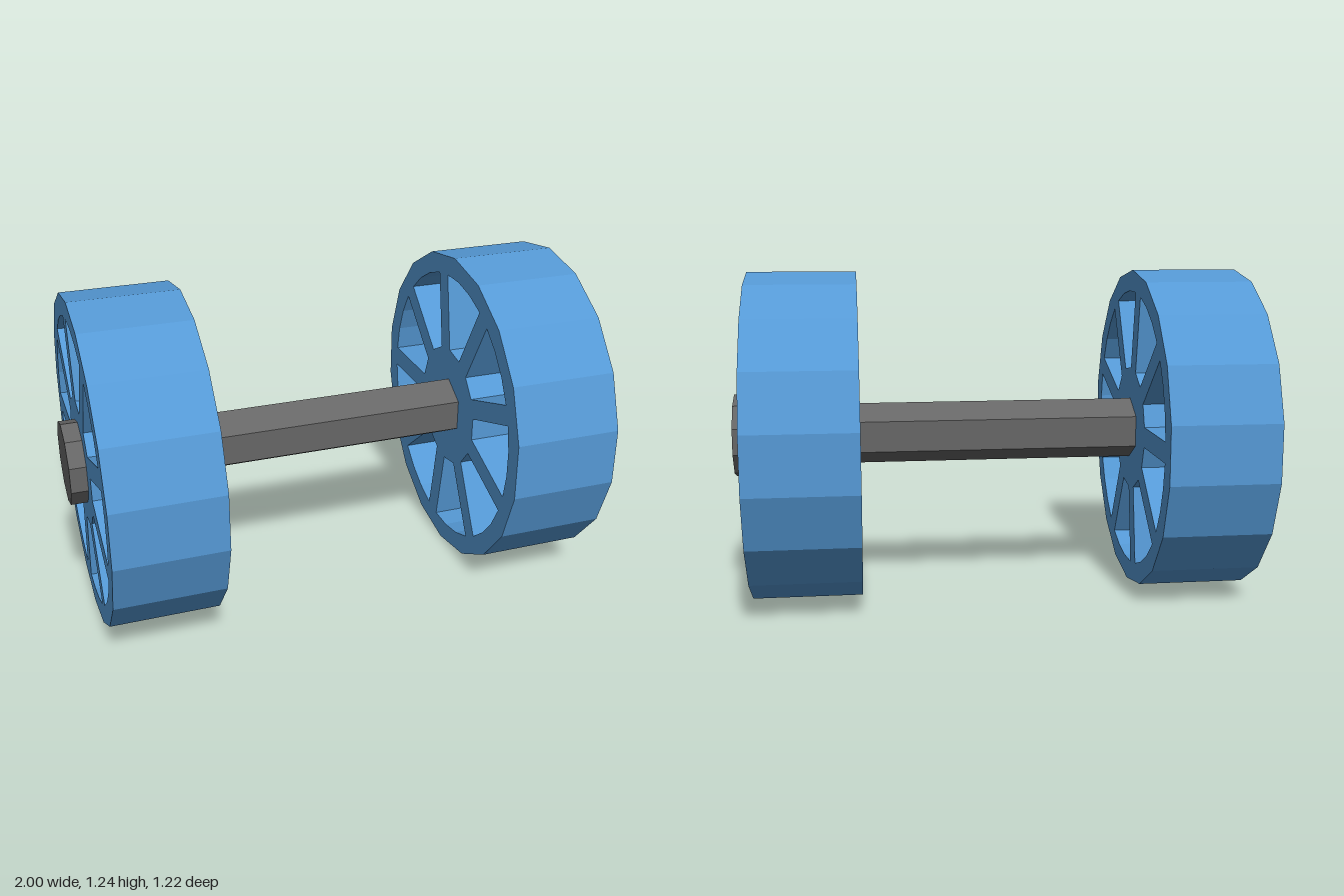
import * as THREE from 'three';

const AXLE_Y = 0.618;
const WHEEL_R = 0.618, RIM_R = 0.537, HUB_R = 0.239;
const SPOKES = 9, SPOKE_HALF = 0.0385;
const WHEEL_IN = 0.533, WHEEL_OUT = 0.938;

const blue = new THREE.MeshStandardMaterial({ color: 0x5599d5, flatShading: true });
const grey = new THREE.MeshStandardMaterial({ color: 0x666666, flatShading: true });

const polar = (r, a) => new THREE.Vector2(r * Math.cos(a), r * Math.sin(a));

// Faceted wheel with straight spokes, extruded along x
function wheelGeometry() {
  const rim = [];
  for (let i = 0; i < 18; i++) rim.push(polar(WHEEL_R, Math.PI / 2 + (i * Math.PI) / 9));
  const shape = new THREE.Shape(rim);

  // One opening between each pair of spokes
  const step = (Math.PI * 2) / SPOKES;
  const outer = step / 2 - Math.asin(SPOKE_HALF / RIM_R);
  const inner = step / 2 - Math.asin(SPOKE_HALF / HUB_R);
  for (let i = 0; i < SPOKES; i++) {
    const mid = (i + 0.5) * step;
    const points = [polar(HUB_R, mid + inner), polar(HUB_R, mid - inner)];
    for (let k = 0; k <= 3; k++) points.push(polar(RIM_R, mid + outer * ((2 * k) / 3 - 1)));
    shape.holes.push(new THREE.Path(points));
  }
  const geometry = new THREE.ExtrudeGeometry(shape, {
    depth: WHEEL_OUT - WHEEL_IN, bevelEnabled: false, curveSegments: 1,
  });
  return geometry.rotateY(Math.PI / 2);
}

// Faceted bar along x with a corner pointing up
function barGeometry(radius, length, sides) {
  return new THREE.CylinderGeometry(radius, radius, length, sides, 1, false, Math.PI / 2)
    .rotateZ(Math.PI / 2);
}

export function createModel() {
  const model = new THREE.Group();
  model.name = 'wheelAxle';
  const add = (name, geometry, material, x) => {
    const mesh = new THREE.Mesh(geometry, material);
    mesh.name = name;
    mesh.position.set(x, AXLE_Y, 0);
    model.add(mesh);
  };

  // Hexagonal axle, reaching a little into both hubs
  add('axle', barGeometry(0.116, WHEEL_IN * 2 + 0.1, 6), grey, 0);

  // Wheels and end caps
  const wheel = wheelGeometry();
  const cap = barGeometry(0.157, 0.1, 10);
  add('leftWheel', wheel, blue, WHEEL_IN);
  add('rightWheel', wheel, blue, -WHEEL_OUT);
  add('leftAxleCap', cap, grey, 0.95);
  add('rightAxleCap', cap, grey, -0.95);
  return model;
}
